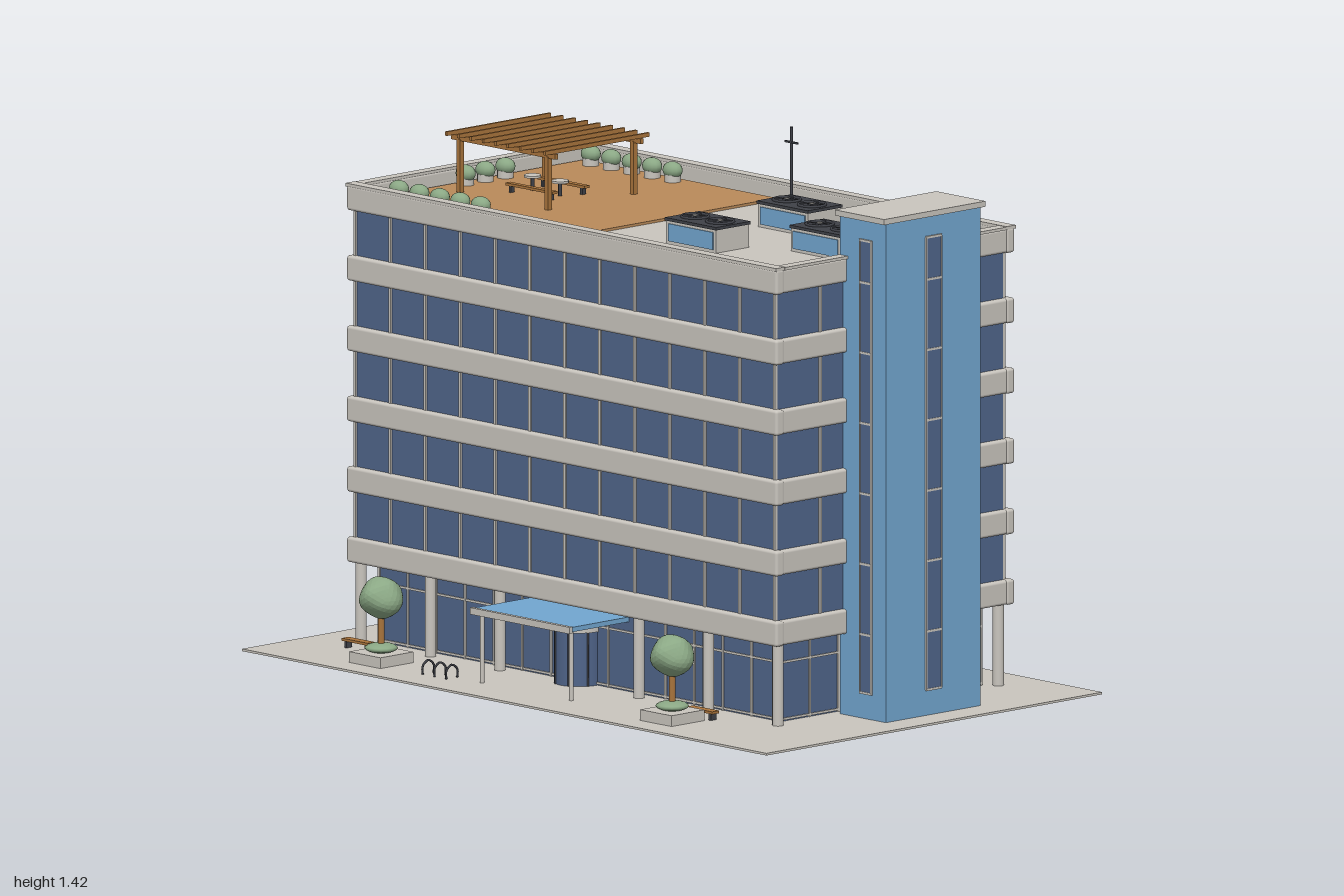
import * as THREE from 'three';
import { RoundedBoxGeometry } from 'three/addons/geometries/RoundedBoxGeometry.js';

const mat = (name, color) => {
  const m = new THREE.MeshStandardMaterial({ color });
  m.name = name;
  return m;
};

export function createModel() {
  const root = new THREE.Group();
  const concrete = mat('concrete', 0xc9c5be);
  const glass = mat('blue glass', 0x50658a);
  const blue = mat('blue cladding', 0x72a6d0);
  const deckWood = mat('deck wood', 0xb98a5a);
  const wood = mat('timber', 0xa9743c);
  const dark = mat('dark metal', 0x3f4148);
  const leaf = mat('foliage', 0x8ba885);

  const add = (name, geo, m, x, y, z, parent = root) => {
    const mesh = new THREE.Mesh(geo, m);
    mesh.name = name;
    mesh.position.set(x, y, z);
    parent.add(mesh);
    return mesh;
  };
  // box given by its min and max along each axis
  const box = (name, m, x0, x1, y0, y1, z0, z1, parent = root) =>
    add(name, new THREE.BoxGeometry(x1 - x0, y1 - y0, z1 - z0), m,
      (x0 + x1) / 2, (y0 + y1) / 2, (z0 + z1) / 2, parent);
  const cyl = (name, m, r, y0, y1, x, z, n = 16, parent = root) =>
    add(name, new THREE.CylinderGeometry(r, r, y1 - y0, n), m, x, (y0 + y1) / 2, z, parent);
  const group = (name, x = 0, y = 0, z = 0) => {
    const g = new THREE.Group();
    g.name = name;
    g.position.set(x, y, z);
    root.add(g);
    return g;
  };

  box('pavement', concrete, -1, 1, 0, 0.006, -0.615, 0.61);

  // Building outline and storey grid
  const X0 = -0.876, X1 = 0.766, Z0 = -0.522, Z1 = 0.349, T = 0.03;
  const storey = 0.189, bandY = 0.222, bandH = 0.068;

  // Upper floors: glass body with mullions
  box('upperGlass', glass, -0.858, 0.748, 0.232, 1.185, -0.497, 0.333);
  box('soffit', concrete, -0.86, 0.75, 0.224, 0.232, -0.5, 0.336);
  const mullions = group('windowMullions');
  for (let i = 0; i <= 12; i++) {
    const x = THREE.MathUtils.lerp(-0.855, 0.745, i / 12);
    for (const z of [-0.498, 0.334])
      box('mullion', concrete, x - 0.004, x + 0.004, 0.235, 1.18, z - 0.004, z + 0.004, mullions);
  }
  for (let i = 1; i < 5; i++) {
    const z = Z0 + (Z1 - Z0) * i / 5;
    for (const x of [-0.859, 0.749])
      box('mullion', concrete, x - 0.004, x + 0.004, 0.235, 1.18, z - 0.004, z + 0.004, mullions);
  }

  // Softly rounded spandrel bands, the top one forming the parapet
  const bands = group('spandrelBands');
  for (let i = 0; i < 6; i++) {
    const y = bandY + i * storey + bandH / 2;
    const long = new RoundedBoxGeometry(X1 - X0, bandH, T, 2, 0.008);
    const short = new RoundedBoxGeometry(T, bandH - 0.002, Z1 - Z0 - 0.03, 2, 0.008);
    for (const z of [Z0 + T / 2, Z1 - T / 2]) add('longBand', long, concrete, (X0 + X1) / 2, y, z, bands);
    for (const x of [X0 + T / 2 + 0.003, X1 - T / 2 - 0.003]) add('shortBand', short, concrete, x, y, (Z0 + Z1) / 2, bands);
  }
  const capY = bandY + 5 * storey + bandH;
  for (const z of [Z0 + T / 2, Z1 - T / 2])
    box('parapetCap', concrete, X0, X1, capY - 0.004, capY + 0.005, z - 0.017, z + 0.017);
  for (const x of [X0 + T / 2, X1 - T / 2])
    box('parapetCap', concrete, x - 0.016, x + 0.016, capY - 0.004, capY + 0.004, Z0 + T, Z1 - T);
  const roofY = 1.19;
  box('roof', concrete, -0.86, 0.75, 1.18, roofY, -0.5, 0.33);

  // Recessed ground floor
  const lobby = group('groundFloor');
  box('lobbyGlass', glass, -0.82, 0.71, 0.006, 0.225, -0.45, 0.28, lobby);
  for (const y of [0.012, 0.165])
    box('transom', concrete, -0.823, 0.713, y - 0.003, y + 0.003, -0.453, 0.283, lobby);
  for (let i = 0; i <= 14; i++) {
    const x = THREE.MathUtils.lerp(-0.82, 0.71, i / 14);
    for (const z of [-0.451, 0.281])
      box('lobbyMullion', concrete, x - 0.003, x + 0.003, 0.006, 0.225, z - 0.003, z + 0.003, lobby);
  }
  for (let i = 1; i < 7; i++) {
    const z = THREE.MathUtils.lerp(-0.45, 0.28, i / 7);
    for (const x of [-0.821, 0.711])
      box('lobbyMullion', concrete, x - 0.003, x + 0.003, 0.006, 0.225, z - 0.003, z + 0.003, lobby);
  }
  for (let i = 0; i < 7; i++) {
    const x = -0.85 + i * 0.265;
    cyl('column', concrete, 0.015, 0.006, 0.226, x, -0.485, 16, lobby);
    if (i !== 3) cyl('column', concrete, 0.015, 0.006, 0.226, x, 0.319, 16, lobby);
  }
  for (const z of [-0.217, 0.051]) cyl('column', concrete, 0.015, 0.006, 0.226, -0.85, z, 16, lobby);

  // Stair tower with window strips on three faces
  const tower = group('stairTower');
  box('towerShaft', blue, 0.738, 0.912, 0.006, 1.347, -0.255, 0.09, tower);
  box('towerCap', concrete, 0.731, 0.919, 1.345, 1.36, -0.268, 0.103, tower);
  box('sideStrip', glass, 0.91, 0.915, 0.075, 1.29, -0.109, -0.057, tower);
  box('frontStrip', glass, 0.818, 0.858, 0.075, 1.29, 0.088, 0.093, tower);
  box('backStrip', glass, 0.818, 0.858, 0.075, 1.29, -0.258, -0.253, tower);
  for (let i = 0; i < 8; i++) {
    const y = i === 0 ? 0.075 : i === 7 ? 1.29 : 0.043 + i * storey;
    box('stripBar', concrete, 0.911, 0.917, y - 0.003, y + 0.003, -0.111, -0.055, tower);
    for (const z of [0.092, -0.257])
      box('stripBar', concrete, 0.815, 0.861, y - 0.003, y + 0.003, z - 0.003, z + 0.003, tower);
  }
  for (const s of [-1, 1]) {
    const z = -0.083 + s * 0.027, x = 0.838 + s * 0.021;
    box('stripFrame', concrete, 0.911, 0.917, 0.075, 1.29, z - 0.002, z + 0.002, tower);
    for (const zz of [0.092, -0.257])
      box('stripFrame', concrete, x - 0.002, x + 0.002, 0.075, 1.29, zz - 0.003, zz + 0.003, tower);
  }

  // Entrance: canopy and revolving door
  const entrance = group('entrance');
  box('canopy', blue, -0.243, 0.131, 0.193, 0.206, 0.28, 0.49, entrance);
  box('canopyFascia', concrete, -0.246, 0.134, 0.19, 0.208, 0.488, 0.5, entrance);
  for (const x of [-0.225, 0.115]) cyl('canopyPost', concrete, 0.006, 0.006, 0.195, x, 0.475, 10, entrance);
  cyl('doorDrum', glass, 0.066, 0.006, 0.152, -0.055, 0.285, 32, entrance);
  cyl('doorCap', concrete, 0.07, 0.15, 0.166, -0.055, 0.285, 32, entrance);
  for (let i = 0; i < 8; i++) {
    const a = (i + 0.5) * Math.PI / 4;
    cyl('doorFrame', dark, 0.003, 0.006, 0.152, -0.055 + 0.066 * Math.cos(a), 0.285 + 0.066 * Math.sin(a), 6, entrance);
  }

  // Street trees in square planters
  const crown = new THREE.IcosahedronGeometry(0.06, 4);
  const p = crown.attributes.position, v = new THREE.Vector3();
  for (let i = 0; i < p.count; i++) {
    v.fromBufferAttribute(p, i);
    v.multiplyScalar(1 + 0.05 * Math.sin(v.x * 70 + 1) * Math.sin(v.y * 60) + 0.04 * Math.cos(v.z * 80));
    p.setXYZ(i, v.x, v.y * 0.9, v.z);
  }
  crown.computeVertexNormals();
  for (const x of [-0.61, 0.5]) {
    const tree = group('streetTree', x, 0, 0.475);
    box('treePlanter', concrete, -0.06, 0.06, 0.006, 0.035, -0.06, 0.06, tree);
    add('shrub', new THREE.SphereGeometry(0.044, 16, 10).scale(1, 0.3, 1), leaf, 0, 0.046, 0, tree);
    cyl('trunk', wood, 0.009, 0.035, 0.15, 0, 0, 10, tree);
    add('treeCrown', crown, leaf, 0, 0.181, 0, tree);
  }

  // Street benches and bicycle hoops
  for (const x of [-0.783, 0.53]) {
    const bench = group('streetBench', x, 0, 0.393);
    box('benchSeat', wood, -0.05, 0.05, 0.024, 0.031, -0.013, 0.013, bench);
    for (const s of [-0.038, 0.038]) box('benchLeg', dark, s - 0.004, s + 0.004, 0.006, 0.024, -0.01, 0.01, bench);
  }
  const hoopPath = new THREE.CatmullRomCurve3([[0.006, -0.02], [0.028, -0.02], [0.042, 0], [0.028, 0.02], [0.006, 0.02]]
    .map(([y, z]) => new THREE.Vector3(0, y, z)));
  const hoop = new THREE.TubeGeometry(hoopPath, 20, 0.003, 6);
  for (const x of [-0.415, -0.37, -0.325]) add('bicycleHoop', hoop, dark, x, 0, 0.49);

  // Roof terrace
  const floorY = 1.197;
  box('terraceDeck', deckWood, -0.835, -0.1, roofY - 0.003, floorY, -0.48, 0.31);
  const plant = (x, z) => {
    cyl('plantPot', concrete, 0.022, floorY, floorY + 0.02, x, z);
    add('plant', new THREE.SphereGeometry(0.03, 14, 10).scale(1, 0.75, 0.8), leaf, x, floorY + 0.031, z);
  };
  for (let i = 0; i < 5; i++) for (const z of [-0.44, 0.26]) plant(-0.767 + i * 0.078, z);
  for (const z of [-0.16, -0.087, -0.015]) plant(-0.8, z);

  // Pergola
  const pergola = group('pergola');
  for (const z of [-0.245, 0.067]) {
    for (const x of [-0.735, -0.4]) box('pergolaPost', wood, x - 0.007, x + 0.007, floorY, 1.34, z - 0.007, z + 0.007, pergola);
    box('pergolaBeam', wood, -0.765, -0.368, 1.336, 1.35, z - 0.005, z + 0.005, pergola);
  }
  for (let i = 0; i < 9; i++) {
    const x = -0.755 + i * 0.047;
    box('pergolaSlat', wood, x - 0.004, x + 0.004, 1.35, 1.361, -0.28, 0.1, pergola);
  }

  // Terrace tables and benches
  for (const x of [-0.62, -0.515]) {
    cyl('tableStem', dark, 0.005, floorY, 1.235, x, -0.087, 8);
    cyl('tableTop', concrete, 0.023, 1.233, 1.239, x, -0.087, 20);
  }
  for (const z of [-0.147, -0.03]) {
    box('terraceBench', wood, -0.655, -0.475, 1.215, 1.222, z - 0.009, z + 0.009);
    for (const x of [-0.64, -0.49]) box('terraceBenchLeg', dark, x - 0.004, x + 0.004, floorY, 1.215, z - 0.007, z + 0.007);
  }

  // Rooftop cooling units
  for (const [x, z] of [[0.222, -0.255], [0.222, 0.08], [0.525, -0.085]]) {
    const unit = group('coolingUnit', x, 0, z);
    box('unitBody', concrete, -0.095, 0.095, roofY, 1.252, -0.06, 0.06, unit);
    box('unitPanel', blue, -0.085, 0.085, 1.198, 1.245, 0.058, 0.063, unit);
    box('unitTop', dark, -0.098, 0.098, 1.252, 1.26, -0.063, 0.063, unit);
    for (const s of [-0.048, 0.048]) {
      add('fanRing', new THREE.TorusGeometry(0.036, 0.004, 8, 24).rotateX(Math.PI / 2), dark, s, 1.262, 0, unit);
      cyl('fanHub', concrete, 0.007, 1.26, 1.266, s, 0, 12, unit);
      for (let k = 0; k < 2; k++)
        box('fanBlade', dark, -0.034, 0.034, 1.26, 1.264, -0.005, 0.005, unit).rotation.y = k * Math.PI / 2 + 0.4;
      unit.children.slice(-2).forEach((b) => { b.position.x = s; });
    }
  }

  // Antenna mast
  cyl('antennaMast', dark, 0.004, roofY, 1.417, 0.035, -0.405, 8);
  box('antennaArm', dark, 0.01, 0.06, 1.373, 1.378, -0.4075, -0.4025);

  return root;
}
